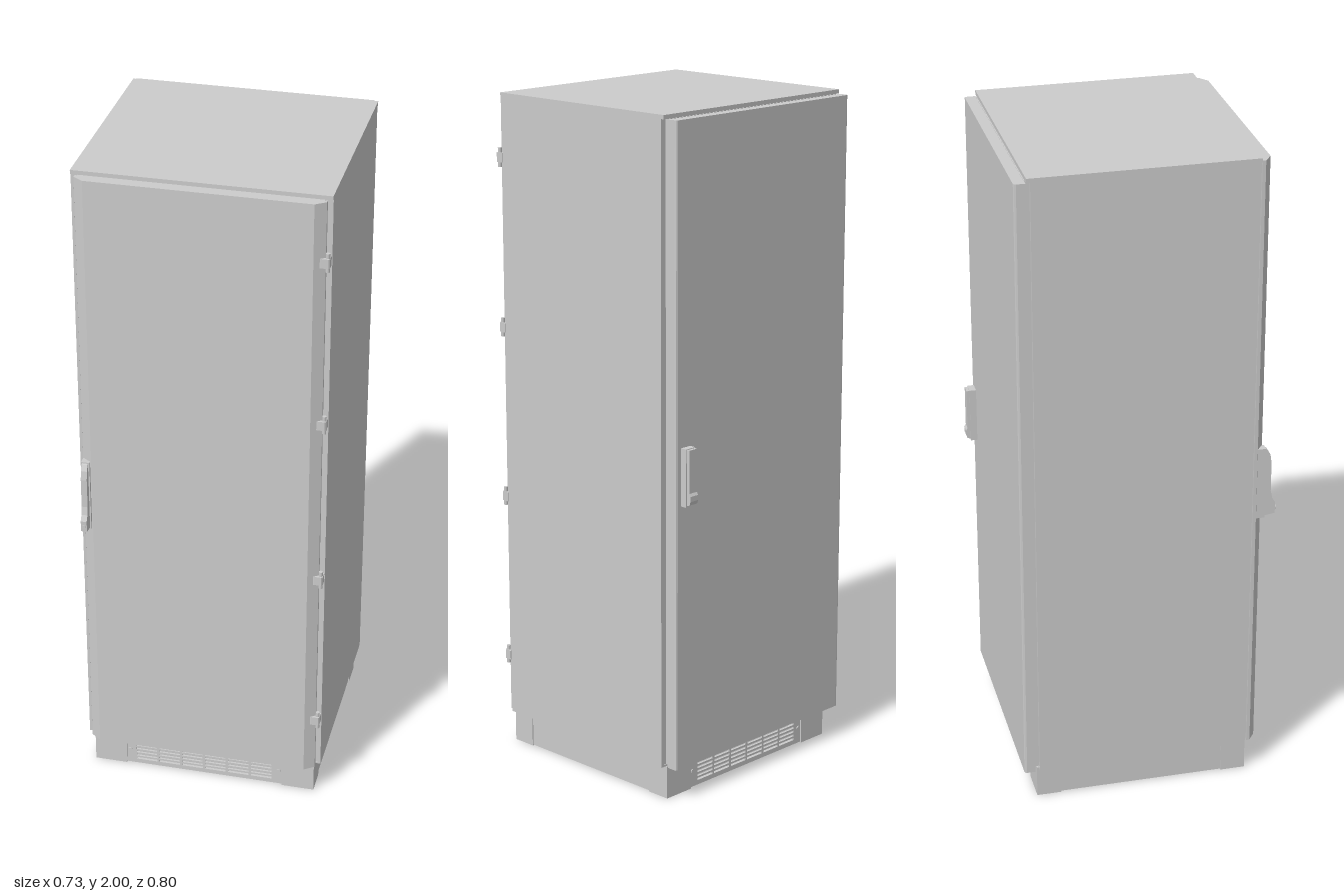
import * as THREE from 'three';

const grey = new THREE.MeshStandardMaterial({ color: 0xcccccc, side: THREE.DoubleSide });

export function createModel() {
  const model = new THREE.Group();

  const add = (name, geometry, parent = model) => {
    const mesh = new THREE.Mesh(geometry, grey);
    mesh.name = name;
    parent.add(mesh);
    return mesh;
  };

  // Box given by its limits on each axis
  const box = (name, x0, x1, y0, y1, z0, z1, parent) => {
    const g = new THREE.BoxGeometry(x1 - x0, y1 - y0, z1 - z0);
    g.translate((x0 + x1) / 2, (y0 + y1) / 2, (z0 + z1) / 2);
    return add(name, g, parent);
  };

  const outline = (pts) => new THREE.Shape(pts.map(([a, b]) => new THREE.Vector2(a, b)));
  const rect = (x0, x1, y0, y1) => outline([[x0, y0], [x1, y0], [x1, y1], [x0, y1]]);
  const extrude = (shape, depth) =>
    new THREE.ExtrudeGeometry(shape, { depth, bevelEnabled: false, curveSegments: 6 });

  // Plan outline of [x, z] points raised from y0 to y1
  const rise = (name, pts, y0, y1, parent) => {
    const g = extrude(outline(pts.map(([x, z]) => [x, -z])), y1 - y0);
    g.rotateX(-Math.PI / 2).translate(0, y0, 0);
    return add(name, g, parent);
  };

  // Side outline of [z, y] points, extruded across x
  const side = (name, pts, x0, x1, parent) => {
    const g = extrude(outline(pts.map(([z, y]) => [-z, y])), x1 - x0);
    g.rotateY(Math.PI / 2).translate(x0, 0, 0);
    return add(name, g, parent);
  };

  // Hollow cabinet shell
  const body = new THREE.Group();
  body.name = 'cabinetBody';
  model.add(body);
  for (const s of [-1, 1]) {
    const a = s * 0.364, b = s * 0.356;
    box('sideWall', Math.min(a, b), Math.max(a, b), 0.1, 1.99, -0.32, 0.32, body);
  }
  box('roof', -0.364, 0.364, 1.988, 2, -0.331, 0.325, body);

  // Rectangular frames and seals behind both doors
  const frame = (name, w, border, z, depth) => {
    const s = rect(-w, w, 0.105, 1.988);
    s.holes.push(rect(-w + border, w - border, 0.105 + border, 1.988 - border));
    add(name, extrude(s, depth).translate(0, 0, z), body);
  };
  frame('frontFrame', 0.358, 0.04, 0.31, 0.008);
  frame('backFrame', 0.358, 0.04, -0.318, 0.008);
  frame('frontSeal', 0.343, 0.025, 0.318, 0.012);
  frame('backSeal', 0.343, 0.025, -0.334, 0.018);

  // Floor: closed front half, open rear half with a border
  box('floorPlate', -0.358, 0.358, 0.1, 0.106, 0.0, 0.32, body);
  box('floorBorderBack', -0.358, 0.358, 0.1, 0.106, -0.32, -0.25, body);
  for (const s of [-1, 1]) {
    box('floorBorderSide', s * 0.32 - 0.038, s * 0.32 + 0.038, 0.1, 0.106, -0.25, 0, body);
  }
  box('floorBeam', -0.3, 0.3, 0.075, 0.115, -0.02, 0.005, body);

  // Perforated upright rails inside
  const rail = rect(-0.02, 0.02, 0.11, 1.98);
  for (let i = 0; i < 40; i++) {
    const y = 0.14 + i * 0.046;
    rail.holes.push(rect(-0.008, 0.008, y, y + 0.02));
  }
  for (const x of [-0.26, 0.26]) {
    for (const z of [-0.24, 0.2]) {
      add('mountingRail', extrude(rail, 0.004).translate(x, 0, z), body);
      const edge = x + Math.sign(x) * 0.02;
      box('railFlange', edge - 0.002, edge + 0.002, 0.11, 1.98, z, z + 0.04, body);
    }
  }

  // Front door with chamfered long edges, back door with rounded ones
  rise('frontDoor', [[-0.35, 0.329], [0.35, 0.329], [0.35, 0.339], [0.32, 0.36],
    [-0.32, 0.36], [-0.35, 0.339]], 0.1, 1.988);
  rise('backDoor', [[-0.365, -0.333], [-0.365, -0.359], [-0.363, -0.364], [-0.358, -0.366],
    [0.344, -0.366], [0.349, -0.364], [0.35, -0.359], [0.35, -0.333]], 0.1, 1.987);

  // Hinges down the front door's left edge
  for (const y of [1.81, 1.305, 0.785, 0.28]) {
    const hinge = new THREE.Group();
    hinge.name = 'hinge';
    model.add(hinge);
    rise('hingeLeaf', [[0.334, 0.349], [0.35, 0.324], [0.363, 0.324], [0.363, 0.346],
      [0.359, 0.35], [0.338, 0.35]], y - 0.014, y + 0.014, hinge);
    const pin = new THREE.CylinderGeometry(0.006, 0.006, 0.056, 12);
    add('hingePin', pin.translate(0.356, y, 0.34), hinge);
  }

  // Front swing handle
  const handle = new THREE.Group();
  handle.name = 'frontHandle';
  model.add(handle);
  box('handleBase', -0.349, -0.324, 0.874, 1.1, 0.34, 0.365, handle);
  side('handleGrip', [[0.355, 0.878], [0.397, 0.884], [0.398, 0.918], [0.388, 0.935], [0.383, 0.96],
    [0.383, 1.05], [0.379, 1.078], [0.37, 1.095], [0.355, 1.1]], -0.346, -0.328, handle);
  const lock = new THREE.CylinderGeometry(0.006, 0.006, 0.006, 16);
  add('handleLock', lock.rotateX(Math.PI / 2).translate(-0.337, 0.9, 0.398), handle);

  // Back handle
  const latch = new THREE.Group();
  latch.name = 'backHandle';
  model.add(latch);
  box('latchBase', 0.294, 0.331, 0.896, 1.066, -0.386, -0.36, latch);
  side('latchGrip', [[-0.384, 0.9], [-0.396, 0.904], [-0.4, 0.915], [-0.4, 0.93], [-0.395, 0.938],
    [-0.395, 1.064], [-0.384, 1.064]], 0.297, 0.328, latch);

  // Plinth: L-shaped corners, plain sides, slotted front and back
  const plinth = new THREE.Group();
  plinth.name = 'plinth';
  model.add(plinth);
  for (const sx of [-1, 1]) {
    for (const sz of [-1, 1]) {
      rise('plinthCorner', [[0.345, 0.325], [0.245, 0.325], [0.245, 0.315], [0.335, 0.315],
        [0.335, 0.25], [0.345, 0.25]].map(([x, z]) => [x * sx, z * sz]), 0, 0.1, plinth);
      box('plinthFoot', sx * 0.318 - 0.022, sx * 0.318 + 0.022, 0, 0.005,
        sz * 0.298 - 0.022, sz * 0.298 + 0.022, plinth);
    }
    box('plinthSide', sx * 0.338 - 0.004, sx * 0.338 + 0.004, 0.002, 0.1, -0.25, 0.25, plinth);
    box('plinthSideLip', sx * 0.325 - 0.012, sx * 0.325 + 0.012, 0.002, 0.006, -0.25, 0.25, plinth);
  }
  const vent = rect(-0.247, 0.247, 0.002, 0.1);
  for (let row = 0; row < 6; row++) {
    for (let col = 0; col < 6; col++) {
      const x = -0.215 + col * 0.0725, y = 0.016 + row * 0.0125;
      vent.holes.push(rect(x, x + 0.0655, y, y + 0.0065));
    }
  }
  for (const s of [-1, 1]) {
    add('ventPanel', extrude(vent, 0.006).translate(0, 0, s * 0.318 - 0.003), plinth);
    box('ventLip', -0.245, 0.245, 0.002, 0.006, s * 0.306 - 0.012, s * 0.306 + 0.012, plinth);
    for (const x of [-0.235, 0.235]) {
      const bolt = new THREE.CylinderGeometry(0.007, 0.007, 0.004, 16);
      add('ventBolt', bolt.rotateX(Math.PI / 2).translate(x, 0.05, s * 0.322), plinth);
    }
  }

  return model;
}
